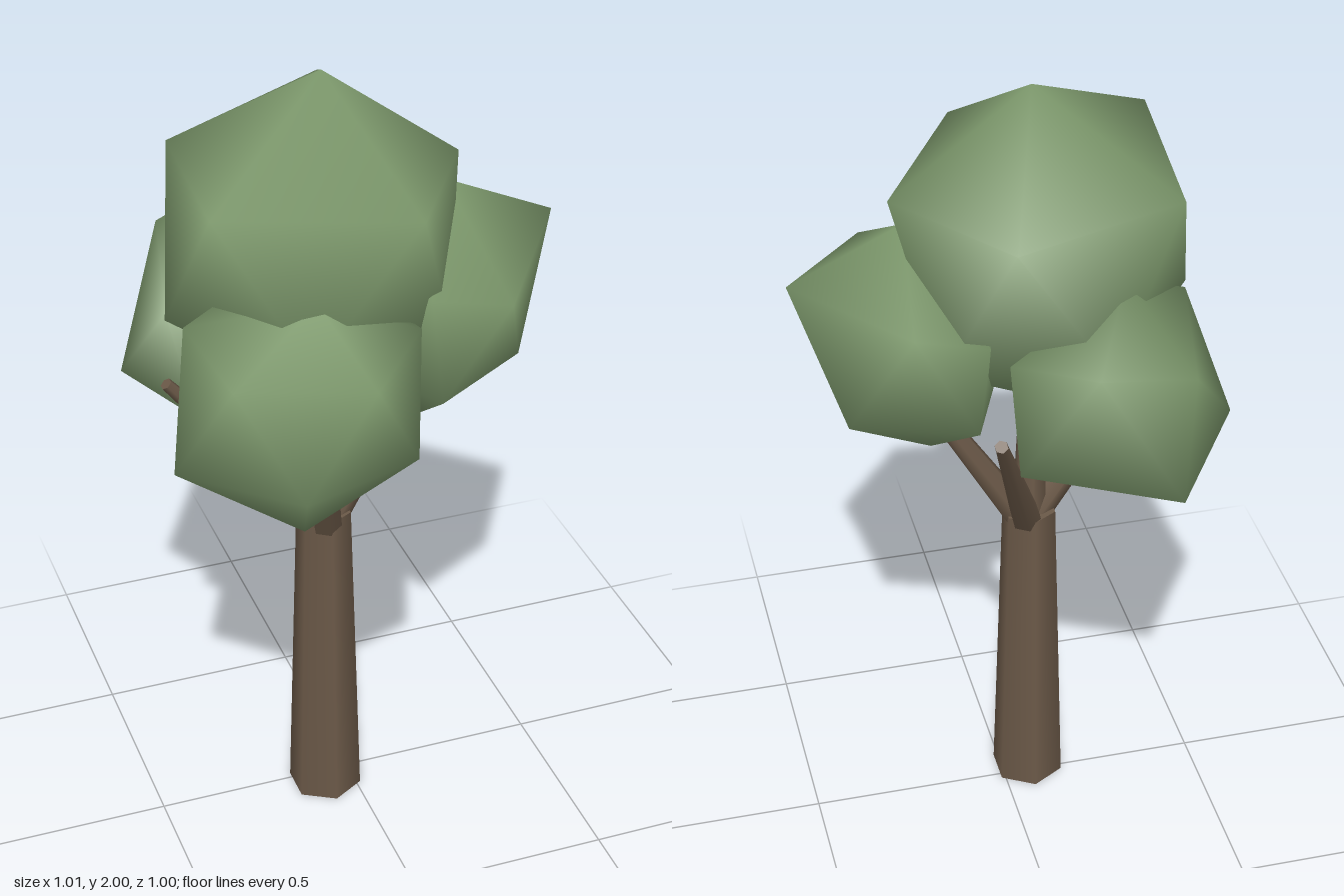
import * as THREE from 'three';
import { mergeVertices } from 'three/addons/utils/BufferGeometryUtils.js';
import { ConvexGeometry } from 'three/addons/geometries/ConvexGeometry.js';

const V = (p) => new THREE.Vector3(...p);

export function createModel() {
  const tree = new THREE.Group();
  tree.name = 'tree';
  const bark = new THREE.MeshStandardMaterial({ color: 0x6b5948 });
  bark.name = 'bark brown';
  const leaf = new THREE.MeshStandardMaterial({ color: 0x7e9a6d });
  leaf.name = 'leaf green';

  const add = (name, geometry, material) => {
    const mesh = new THREE.Mesh(geometry, material);
    mesh.name = name;
    tree.add(mesh);
    return mesh;
  };

  // Tapered six-sided limb between two points
  const limb = (name, from, to, r0, r1) => {
    const a = V(from), b = V(to), dir = b.clone().sub(a);
    const mesh = add(name, new THREE.CylinderGeometry(r1, r0, dir.length(), 6), bark);
    mesh.position.copy(a).add(b).multiplyScalar(0.5);
    mesh.quaternion.setFromUnitVectors(new THREE.Vector3(0, 1, 0), dir.normalize());
  };

  // Faceted leaf clump: hull of a few corners, shaded smooth
  const clump = (name, corners) => {
    let geometry = new ConvexGeometry(corners.map(V));
    geometry.deleteAttribute('normal');
    geometry = mergeVertices(geometry, 1e-4);
    geometry.computeVertexNormals();
    add(name, geometry, leaf);
  };

  // Trunk and its branches
  limb('trunk', [-0.07, 0, 0.03], [-0.07, 0.84, 0.03], 0.093, 0.068);
  limb('branchStub', [-0.07, 0.8, 0.03], [-0.04, 0.95, 0.03], 0.045, 0.032);
  limb('topBranch', [-0.07, 0.8, 0.03], [-0.08, 1.3, 0.04], 0.045, 0.025);
  limb('leftBranch', [-0.06, 0.8, 0.03], [0.22, 1.26, 0.03], 0.04, 0.02);
  limb('frontBranch', [-0.07, 0.8, 0.05], [-0.15, 1.2, 0.28], 0.04, 0.02);
  limb('rightBranch', [-0.08, 0.82, 0.03], [-0.47, 1.31, 0.09], 0.04, 0.015);
  limb('backBranch', [-0.06, 0.82, 0.01], [0.095, 1.31, -0.36], 0.04, 0.016);

  // Crown
  clump('topFoliage', [
    [-0.07, 2, 0.03],
    [-0.37, 1.78, -0.19], [0.065, 1.81, -0.385], [0.265, 1.75, 0.025],
    [0.045, 1.77, 0.38], [-0.41, 1.8, 0.275],
    [-0.45, 1.44, 0.03], [-0.18, 1.42, -0.31], [0.19, 1.42, -0.21],
    [0.17, 1.42, 0.22], [-0.2, 1.42, 0.33],
    [-0.08, 1.17, 0.03],
  ]);
  clump('frontFoliage', [
    [-0.19, 0.935, 0.24],
    [-0.5, 1.16, 0.24], [-0.27, 1.18, 0.495], [0.04, 1.17, 0.38],
    [-0.06, 1.15, 0.04], [-0.37, 1.12, 0.05],
    [-0.4, 1.43, 0.38], [-0.105, 1.44, 0.5], [0.08, 1.45, 0.28],
    [-0.45, 1.5, 0.18], [-0.03, 1.5, 0.08],
    [-0.18, 1.58, 0.31], [-0.2, 1.62, 0.15],
  ]);
  clump('backFoliage', [
    [-0.2, 1.04, -0.18],
    [-0.505, 1.2, -0.185], [-0.295, 1.19, -0.505], [0.05, 1.22, -0.36],
    [-0.03, 1.15, -0.02], [-0.38, 1.16, 0.02],
    [-0.34, 1.46, -0.42], [-0.11, 1.5, -0.44], [0.06, 1.48, -0.3],
    [-0.44, 1.44, 0], [-0.22, 1.63, -0.24],
  ]);
  clump('leftFoliage', [
    [0.175, 1.065, 0.03],
    [0.4, 1.26, -0.135], [0.37, 1.27, 0.17], [0.13, 1.25, 0.295],
    [0.12, 1.28, -0.26], [0.02, 1.22, 0.02],
    [0.505, 1.56, 0.025], [0.28, 1.5, 0.335], [0.265, 1.54, -0.245],
    [0.1, 1.52, -0.28], [0.1, 1.52, 0.29],
    [0.23, 1.685, 0.03], [0.02, 1.6, 0.03],
  ]);

  return tree;
}
